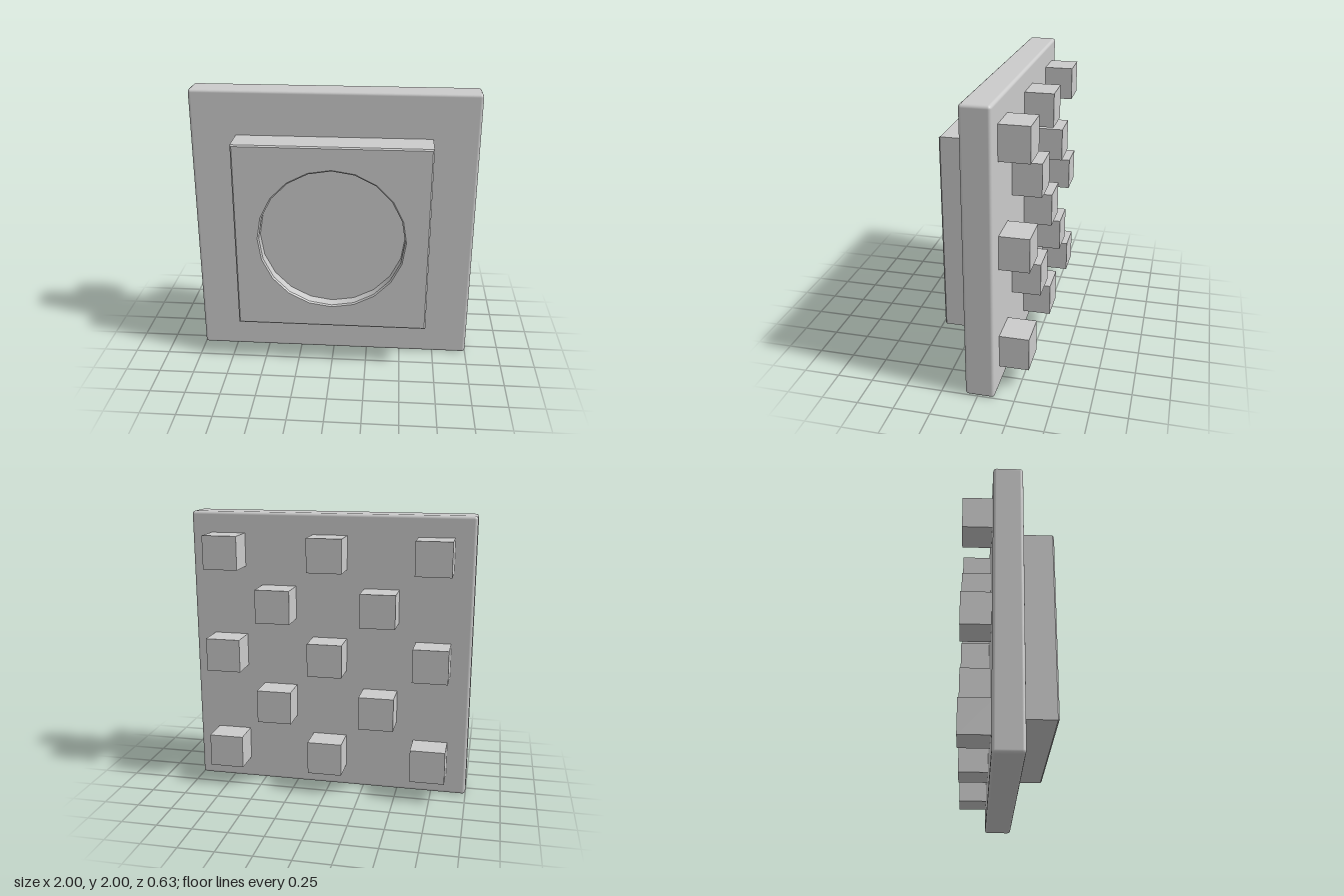
import * as THREE from 'three';
import { RoundedBoxGeometry } from 'three/addons/geometries/RoundedBoxGeometry.js';
import { toCreasedNormals } from 'three/addons/utils/BufferGeometryUtils.js';

export function createModel() {
  const group = new THREE.Group();
  const material = new THREE.MeshStandardMaterial({ color: 0xcccccc });
  const centerY = 1.005;

  function add(name, geometry, x, y, z) {
    const mesh = new THREE.Mesh(geometry, material);
    mesh.name = name;
    mesh.position.set(x, y, z);
    group.add(mesh);
    return mesh;
  }

  // Base plate with softened edges
  add('basePlate', new RoundedBoxGeometry(2, 2, 0.2, 2, 0.022), 0, 1, -0.015);

  // Raised square frame with a 20-sided round opening
  const half = 0.68, radius = 0.51, sides = 20, bevel = 0.01;
  const square = new THREE.Shape([
    new THREE.Vector2(-half, -half), new THREE.Vector2(half, -half),
    new THREE.Vector2(half, half), new THREE.Vector2(-half, half),
  ]);
  const ring = [];
  for (let i = 0; i < sides; i++) {
    const a = -i / sides * Math.PI * 2;
    ring.push(new THREE.Vector2(Math.cos(a) * radius, Math.sin(a) * radius));
  }
  square.holes.push(new THREE.Path(ring));
  const frame = new THREE.ExtrudeGeometry(square, {
    depth: 0.25 - bevel, bevelEnabled: true, bevelThickness: bevel,
    bevelSize: bevel, bevelOffset: -bevel, bevelSegments: 1,
  });
  add('raisedFrame', toCreasedNormals(frame, 0.5), 0, centerY, 0.065);

  // Sunken disc that closes the opening
  const disc = new THREE.CylinderGeometry(radius + 0.005, radius + 0.005, 0.16, sides);
  disc.rotateY(Math.PI / 2).rotateX(Math.PI / 2);
  add('recessFloor', disc, 0, centerY, 0.15);

  // Checkerboard of square pegs on the back
  const peg = new THREE.BoxGeometry(0.245, 0.235, 0.22);
  for (let row = -2; row <= 2; row++) {
    for (let col = -2; col <= 2; col++) {
      if ((row + col) % 2 === 0) add('backPeg', peg, col * 0.367, centerY + row * 0.365, -0.207);
    }
  }
  return group;
}
